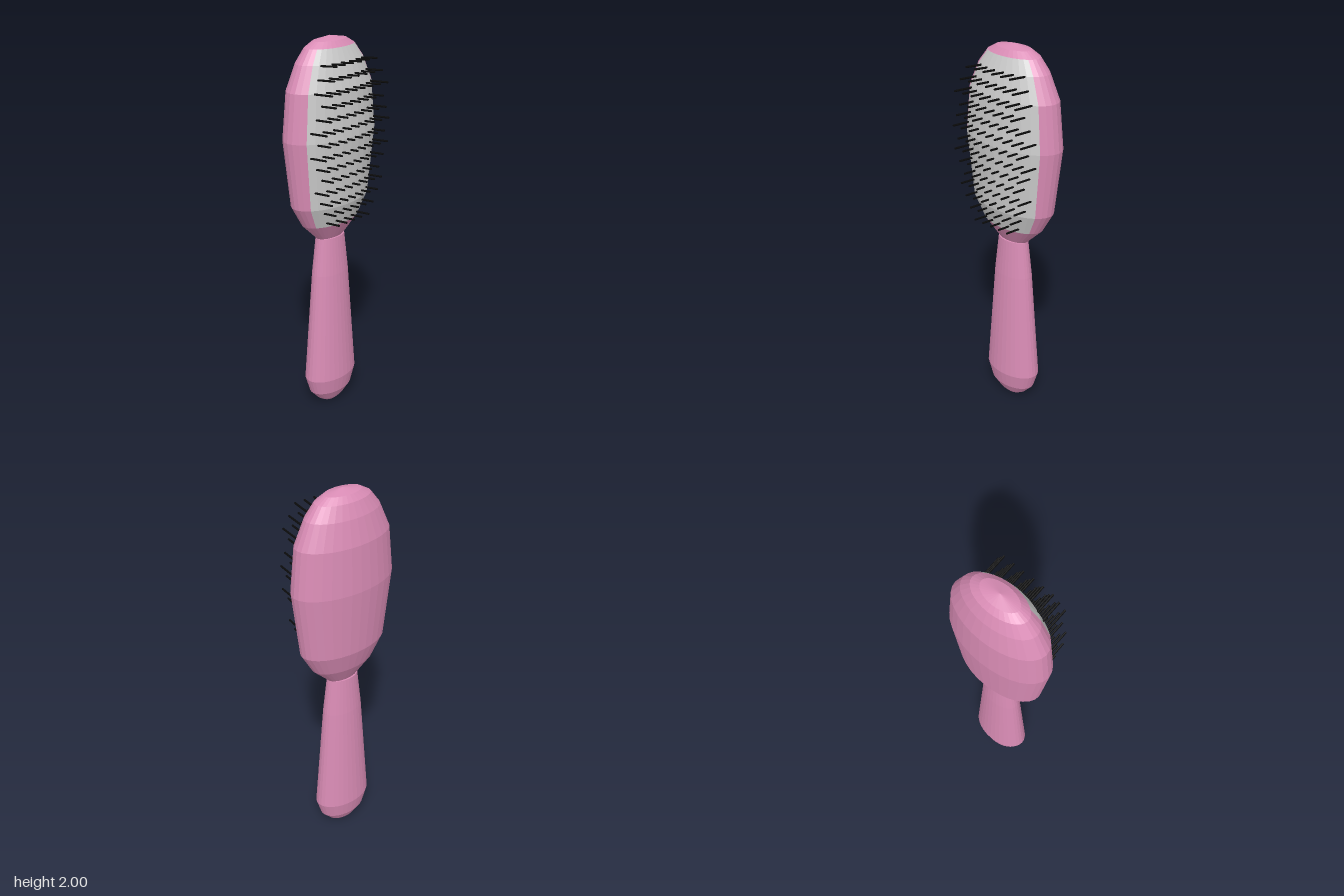
import * as THREE from 'three';

const CX = -0.03;            // axis of the brush body
const SEG = 32;
const STEP = (Math.PI * 2) / SEG;

// Half widths (z) and heights of the head, bottom to top
const HEAD = [[0.088, 1], [0.178, 1.09], [0.24, 1.2], [0.28, 1.54], [0.255, 1.77],
  [0.2, 1.89], [0.148, 1.955], [0.1, 1.982], [0, 2]];
const HANDLE = [[0, 0.005], [0.05, 0.018], [0.088, 0.045], [0.135, 0.1], [0.162, 0.19],
  [0.112, 0.8], [0.088, 1], [0, 1]];

const material = (color) => new THREE.MeshStandardMaterial({ color, flatShading: true, side: THREE.DoubleSide });

// Lathe squashed along x; `from` and `count` are in facets, starting at +z
function oval(name, profile, ratio, mat, from = 0, count = SEG) {
  const pts = profile.map(([r, y]) => new THREE.Vector2(r, y));
  const geo = new THREE.LatheGeometry(pts, count, from * STEP, count * STEP);
  geo.scale(ratio, 1, 1);
  const mesh = new THREE.Mesh(geo, mat);
  mesh.name = name;
  mesh.position.x = CX;
  return mesh;
}

// Half width of the head at height y
function halfWidth(y) {
  const i = HEAD.findIndex((p) => p[1] > y);
  const [a, b] = [HEAD[i - 1], HEAD[i]];
  return THREE.MathUtils.lerp(a[0], b[0], (y - a[1]) / (b[1] - a[1]));
}

export function createModel() {
  const brush = new THREE.Group();
  brush.name = 'hairbrush';
  const pink = material(0xd98cb5);
  const grey = material(0xcccccc);
  const black = material(0x0a0a0a);

  brush.add(oval('handle', HANDLE, 0.62, pink));

  // Head: full rings above and below, the pad fills ten facets facing +x
  const ratio = 0.52;
  const middle = HEAD.slice(1, 7);
  brush.add(oval('headNeck', HEAD.slice(0, 2), ratio, pink));
  brush.add(oval('headShell', middle, ratio, pink, 13, 22));
  brush.add(oval('headTip', HEAD.slice(6), ratio, pink));
  brush.add(oval('bristlePad', middle, ratio, grey, 3, 10));

  // Bristles in staggered rows, tilted slightly upward
  const bristles = new THREE.Group();
  bristles.name = 'bristles';
  const up = new THREE.Vector3(0, 1, 0);
  for (let row = 0; row < 14; row++) {
    const y = 1.12 + row * 0.0595;
    const limit = halfWidth(y) * 0.8;
    const tipX = row > 11 ? 0.17 - (row - 11) * 0.012 : 0.138 + row * 0.003;
    for (let col = -4; col <= 4; col++) {
      const z = (col + (row % 2 ? 0.5 : 0)) * 0.053;
      if (Math.abs(z) > limit) continue;
      const base = new THREE.Vector3(0.045, y - 0.006, z);
      const tip = new THREE.Vector3(tipX, y + 0.006, z);
      const dir = tip.clone().sub(base);
      const bristle = new THREE.Mesh(new THREE.CylinderGeometry(0.005, 0.005, dir.length(), 6), black);
      bristle.name = 'bristle';
      bristle.position.copy(base).add(tip).multiplyScalar(0.5);
      bristle.quaternion.setFromUnitVectors(up, dir.normalize());
      bristles.add(bristle);
    }
  }
  brush.add(bristles);
  return brush;
}
